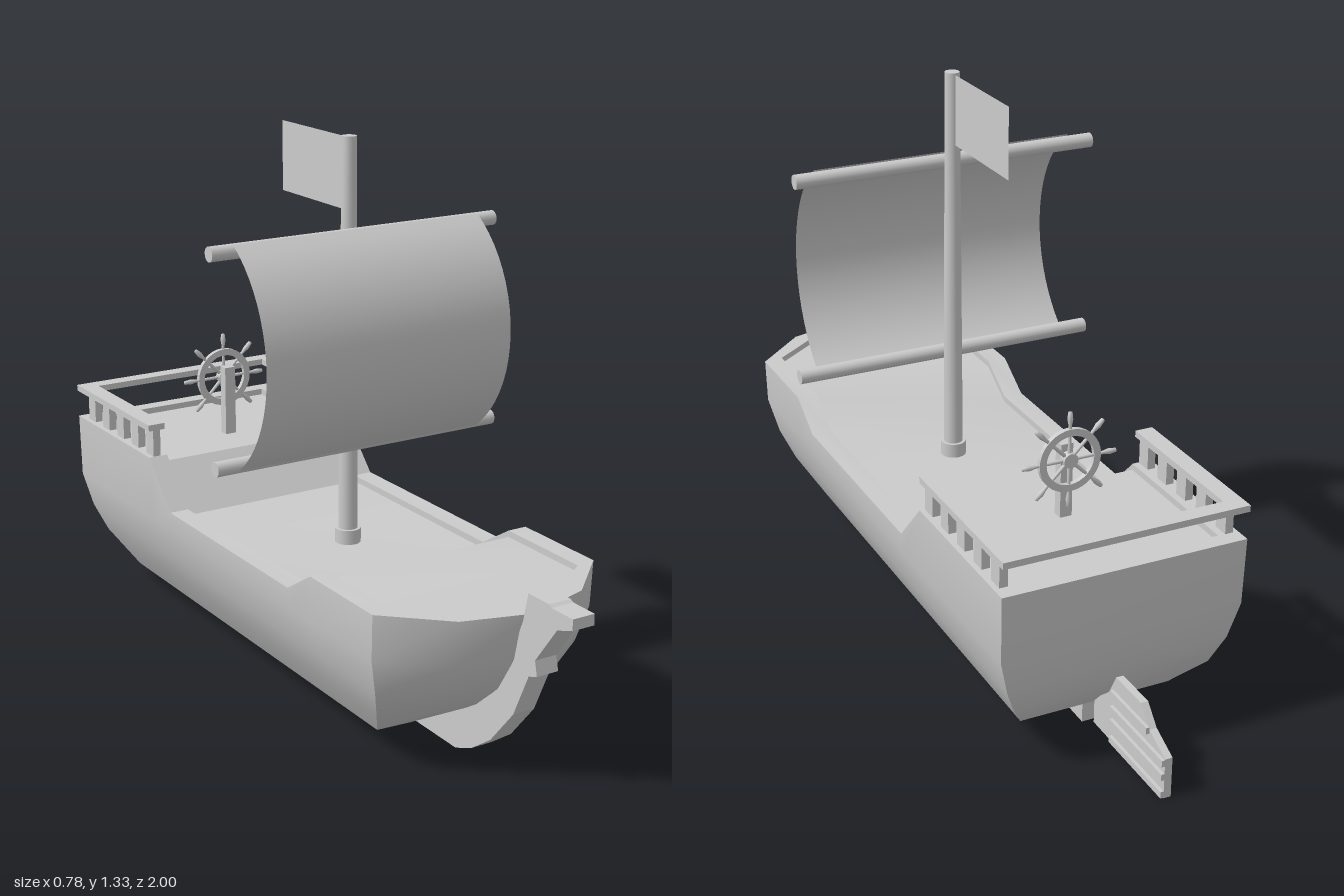
import * as THREE from 'three';
import { toCreasedNormals } from 'three/addons/utils/BufferGeometryUtils.js';

const material = new THREE.MeshStandardMaterial({ color: 0xcccccc });
const thinMaterial = new THREE.MeshStandardMaterial({ color: 0xcccccc, side: THREE.DoubleSide });

function add(parent, name, geometry, x = 0, y = 0, z = 0, mat = material) {
  const mesh = new THREE.Mesh(geometry, mat);
  mesh.name = name;
  mesh.position.set(x, y, z);
  parent.add(mesh);
  return mesh;
}

// Extrudes a [z, y] side profile to a plate spanning the given width in x
function sidePlate(points, width) {
  const shape = new THREE.Shape(points.map(([z, y]) => new THREE.Vector2(z, y)));
  const geometry = new THREE.ExtrudeGeometry(shape, { depth: width, bevelEnabled: false });
  return geometry.translate(0, 0, -width / 2).rotateY(-Math.PI / 2);
}

// Height of the hull's upper edge along its length
const sheerPoints = [[-0.38, 0.465], [-0.27, 0.35], [0.31, 0.35], [0.41, 0.412]];
function sheer(z) {
  if (z <= sheerPoints[0][0]) return sheerPoints[0][1];
  for (let i = 1; i < sheerPoints.length; i++) {
    const [z0, y0] = sheerPoints[i - 1], [z1, y1] = sheerPoints[i];
    if (z <= z1) return y0 + (y1 - y0) * (z - z0) / (z1 - z0);
  }
  return sheerPoints.at(-1)[1];
}

// One closed plan outline: bow tip, left side, transom, right side
function hullRing(w, stern, corner, tip, heightAt) {
  const left = [[w * 0.55, corner + (tip - corner) * 0.72], [w, corner],
    [w, 0.41], [w, 0.31], [w, -0.27], [w, -0.38], [w, stern]];
  const right = left.map(([x, z]) => [-x, z]).reverse();
  return [[0, tip], ...left, ...right].map(([x, z]) => [x, heightAt(z), z]);
}

function hullGeometry() {
  const rings = [
    hullRing(0.19, -0.68, 0.52, 0.53, () => 0.053),
    hullRing(0.245, -0.76, 0.60, 0.68, () => 0.14),
    hullRing(0.275, -0.785, 0.64, 0.76, () => 0.21),
    hullRing(0.298, -0.80, 0.66, 0.815, () => 0.30),
    hullRing(0.30, -0.805, 0.665, 0.84, sheer),
    hullRing(0.25, -0.765, 0.67, 0.79, sheer),
    hullRing(0.25, -0.765, 0.67, 0.79, z => sheer(z) - 0.016),
  ];
  const n = rings[0].length;
  const index = [];
  const quad = (a, b, c, d) => {
    index.push(a, b, c);
    if (a !== d) index.push(a, c, d);
  };
  // Sides, rim and inner wall
  for (let r = 0; r < rings.length - 1; r++) {
    for (let i = 0; i < n; i++) {
      const j = (i + 1) % n;
      quad(r * n + i, r * n + j, (r + 1) * n + j, (r + 1) * n + i);
    }
  }
  // Deck and flat bottom, as strips from side to side
  const deck = (rings.length - 1) * n;
  for (let i = 0; i < (n - 1) / 2; i++) {
    const a = i, b = i + 1, c = n - i - 1, d = (n - i) % n;
    quad(deck + a, deck + b, deck + c, deck + d);
    index.push(a, c, b);
    if (a !== d) index.push(a, d, c);
  }
  const geometry = new THREE.BufferGeometry();
  geometry.setAttribute('position', new THREE.Float32BufferAttribute(rings.flat(2), 3));
  geometry.setIndex(index);
  return toCreasedNormals(geometry, 0.62);
}

function createRailing() {
  const railing = new THREE.Group();
  railing.name = 'sternRailing';
  for (const side of [-1, 1]) {
    add(railing, 'sideRail', new THREE.BoxGeometry(0.045, 0.016, 0.43), side * 0.2775, 0.543, -0.595);
    for (let i = 0; i < 5; i++) {
      add(railing, 'railPost', new THREE.BoxGeometry(0.02, 0.075, 0.04), side * 0.277, 0.499, -0.402 - i * 0.086);
    }
  }
  add(railing, 'backRail', new THREE.BoxGeometry(0.51, 0.016, 0.04), 0, 0.543, -0.79);
  return railing;
}

function createWheel() {
  const wheel = new THREE.Group();
  wheel.name = 'steeringWheel';
  // Rim with a rectangular section
  const rim = new THREE.Shape().absarc(0, 0, 0.077, 0, Math.PI * 2);
  rim.holes.push(new THREE.Path().absarc(0, 0, 0.06, 0, Math.PI * 2));
  const rimGeometry = new THREE.ExtrudeGeometry(rim, { depth: 0.012, bevelEnabled: false, curveSegments: 16 });
  add(wheel, 'wheelRim', rimGeometry.translate(0, 0, -0.006));
  add(wheel, 'wheelHub', new THREE.CylinderGeometry(0.018, 0.018, 0.02, 12).rotateX(Math.PI / 2));
  // Turned spokes ending in handles
  const profile = [[0, 0], [0.005, 0], [0.004, 0.06], [0.004, 0.084], [0.007, 0.1], [0.005, 0.117], [0, 0.119]]
    .map(([r, y]) => new THREE.Vector2(r, y));
  const spoke = new THREE.LatheGeometry(profile, 8);
  for (let i = 0; i < 8; i++) add(wheel, 'spoke', spoke).rotation.z = i * Math.PI / 4;
  wheel.position.set(0, 0.598, -0.53);
  return wheel;
}

export function createModel() {
  const ship = new THREE.Group();
  ship.name = 'sailingShip';

  add(ship, 'hull', hullGeometry());

  // Keel sweeping up into the stem and its head
  add(ship, 'keelAndStem', sidePlate([
    [-0.672, 0], [0.60, 0], [0.66, 0.025], [0.73, 0.075], [0.81, 0.17], [0.86, 0.28], [0.888, 0.29],
    [0.88, 0.325], [0.95, 0.42], [1, 0.437], [1, 0.463], [0.93, 0.463], [0.92, 0.468], [0.85, 0.468],
    [0.835, 0.40], [0.795, 0.30], [0.73, 0.2], [0.64, 0.12], [0.5, 0.06], [-0.672, 0.06],
  ], 0.057));

  // Rudder plate with raised bands on its left face
  add(ship, 'rudder', sidePlate([
    [-1, 0], [-0.685, 0], [-0.685, 0.065], [-0.75, 0.12], [-0.78, 0.176], [-0.89, 0.176], [-0.93, 0.132], [-1, 0.1],
  ], 0.018), -0.004);
  for (const [y, end] of [[0.01, -1], [0.055, -1], [0.09, -1], [0.13, -0.93]]) {
    add(ship, 'rudderBand', new THREE.BoxGeometry(0.008, 0.016, -0.77 - end), 0.009, y, (end - 0.77) / 2);
  }

  // Mast with its collar
  add(ship, 'mast', new THREE.CylinderGeometry(0.018, 0.024, 0.995, 16), 0, 0.8325, 0.093);
  add(ship, 'mastCollar', new THREE.CylinderGeometry(0.032, 0.032, 0.04, 16), 0, 0.35, 0.093);

  // Yards
  const yard = new THREE.CylinderGeometry(0.018, 0.018, 0.78, 16).rotateZ(Math.PI / 2);
  add(ship, 'upperYard', yard, 0, 1.102, 0.126);
  add(ship, 'lowerYard', yard, 0, 0.6, 0.138);

  // Sail: a sheet bent into a forward-bulging arc
  const sail = new THREE.PlaneGeometry(0.67, 0.538, 1, 20);
  const p = sail.attributes.position;
  const halfHeight = 0.269, bulge = 0.145;
  const radius = (halfHeight ** 2 + bulge ** 2) / (2 * bulge);
  for (let i = 0; i < p.count; i++) {
    const angle = p.getY(i) / halfHeight * Math.asin(halfHeight / radius);
    p.setY(i, radius * Math.sin(angle));
    p.setZ(i, bulge - radius + radius * Math.cos(angle));
  }
  sail.computeVertexNormals();
  add(ship, 'sail', sail, 0, 0.851, 0.14, thinMaterial);

  // Flag trailing aft of the masthead
  add(ship, 'flag', new THREE.PlaneGeometry(0.29, 0.172).rotateY(Math.PI / 2), 0, 1.24, -0.065, thinMaterial);

  ship.add(createRailing(), createWheel());
  add(ship, 'wheelPedestal', new THREE.BoxGeometry(0.03, 0.19, 0.026), 0, 0.537, -0.506);
  return ship;
}
